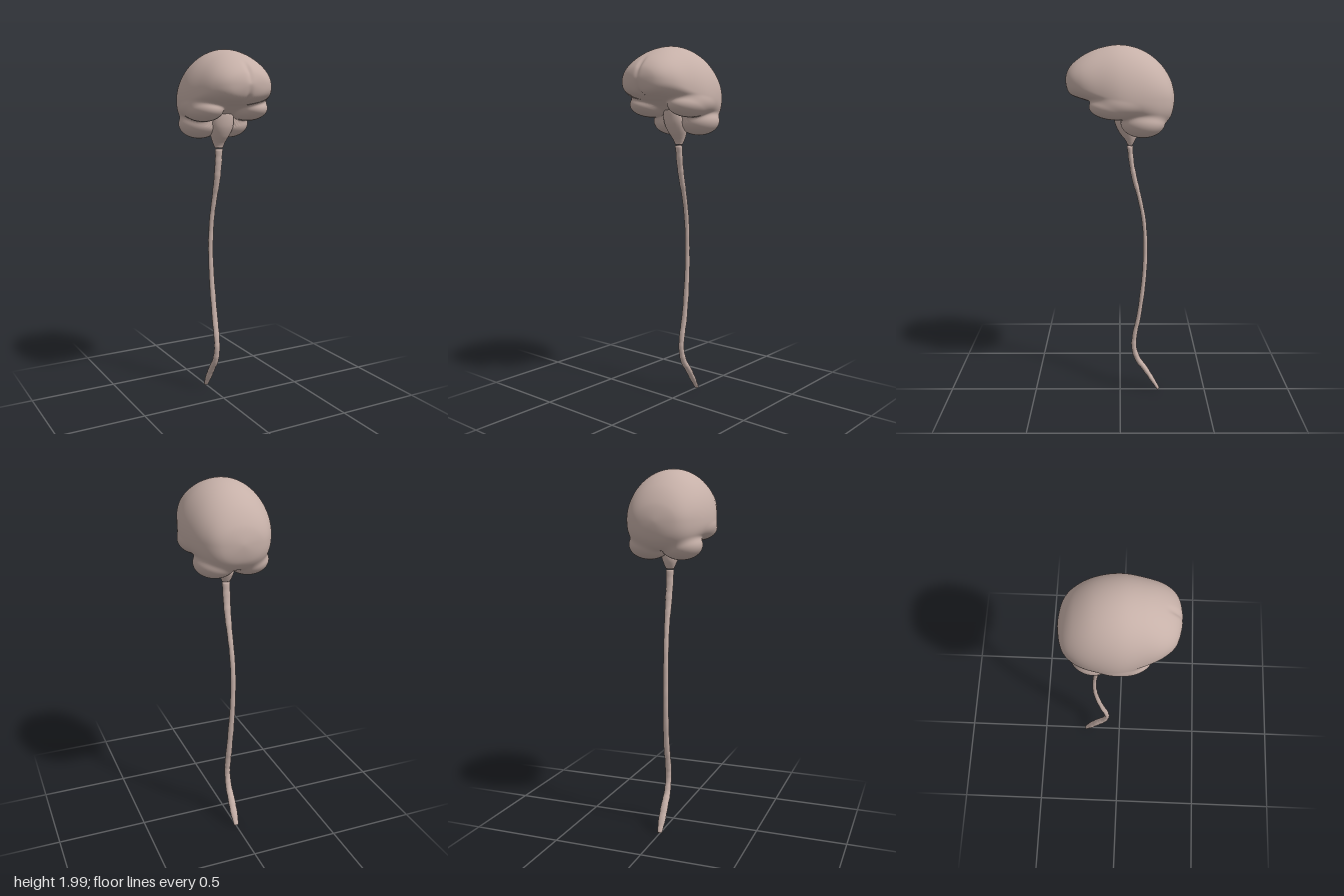
import * as THREE from 'three';
import { mergeVertices } from 'three/addons/utils/BufferGeometryUtils.js';

const material = new THREE.MeshStandardMaterial({ color: 0xc6b0a8, roughness: 0.8 });

// Cerebrum profile at equal angles from the back pole to the front pole.
const HALF_LENGTH = 0.292;
const TOP = [1.725, 1.82, 1.91, 1.975, 2.0, 1.983, 1.94, 1.885, 1.82];
const MIDDLE = [1.725, 1.725, 1.73, 1.73, 1.73, 1.765, 1.8, 1.815, 1.82];
const BOTTOM = [1.725, 1.625, 1.575, 1.6, 1.645, 1.695, 1.722, 1.75, 1.82];
const WIDTH = [0, 0.118, 0.183, 0.223, 0.238, 0.213, 0.176, 0.112, 0];

// Smooth lookup in an evenly spaced table, t from 0 to 1.
function sample(table, t) {
  const f = t * (table.length - 1);
  const i = Math.min(Math.floor(f), table.length - 2);
  const u = f - i;
  const b = table[i], c = table[i + 1];
  const a = table[i - 1] ?? b, d = table[i + 2] ?? c;
  return b + 0.5 * u * (c - a + u * (2 * a - 5 * b + 4 * c - d + u * (3 * (b - c) + d - a)));
}

// Approximate signed distances, negative inside.
function cerebrum(x, y, z) {
  if (Math.abs(z) >= HALF_LENGTH) return 1;
  const t = Math.asin(z / HALF_LENGTH) / Math.PI + 0.5;
  const mid = sample(MIDDLE, t);
  const up = y > mid;
  const h = Math.max(Math.abs((up ? sample(TOP, t) : sample(BOTTOM, t)) - mid), 1e-4);
  const w = Math.max(sample(WIDTH, t), 1e-4);
  const p = up ? 2 : 2.6;
  const q = (Math.abs(x / w) ** p + Math.abs((y - mid) / h) ** p) ** (1 / p);
  // shallow midline furrow between the frontal lobes
  const furrow = 0.014 * Math.exp(-((x / 0.014) ** 2)) * THREE.MathUtils.smoothstep(z, 0.2, 0.27);
  return (q - 1) * Math.min(w, h) + furrow;
}

function ellipsoid(x, y, z, [cx, cy, cz, rx, ry, rz]) {
  return (Math.hypot((x - cx) / rx, (y - cy) / ry, (z - cz) / rz) - 1) * Math.min(rx, ry, rz);
}

function blend(a, b, k) {
  const h = Math.max(k - Math.abs(a - b), 0) / k;
  return Math.min(a, b) - h * h * k * 0.25;
}

const LOBES = [
  [0.135, 1.69, 0.015, 0.1, 0.07, 0.148], // temporal lobe
  [0.09, 1.602, -0.12, 0.112, 0.08, 0.118], // cerebellum half
];

function brainField(x, y, z) {
  let d = cerebrum(x, y, z);
  for (const lobe of LOBES) d = blend(d, ellipsoid(Math.abs(x), y, z, lobe), 0.014);
  return d;
}

// Push each vertex of a sphere out to the surface of the blended lobes.
function brainGeometry() {
  let geometry = new THREE.IcosahedronGeometry(1, 44);
  geometry.deleteAttribute('uv');
  geometry.deleteAttribute('normal');
  geometry = mergeVertices(geometry, 1e-5);
  const pos = geometry.attributes.position;
  const centre = new THREE.Vector3(0, 1.745, -0.02);
  const dir = new THREE.Vector3();
  for (let i = 0; i < pos.count; i++) {
    dir.fromBufferAttribute(pos, i).normalize();
    const inside = (r) =>
      brainField(centre.x + dir.x * r, centre.y + dir.y * r, centre.z + dir.z * r) < 0;
    let low = 0.4;
    while (low > 0.02 && !inside(low)) low -= 0.006;
    let high = low + 0.006;
    for (let n = 0; n < 12; n++) {
      const m = (low + high) / 2;
      if (inside(m)) low = m;
      else high = m;
    }
    dir.multiplyScalar(low).add(centre);
    pos.setXYZ(i, dir.x, dir.y, dir.z);
  }
  geometry.computeVertexNormals();
  return geometry;
}

// Sweep an ellipse downwards; each station is [x, y, z, side radius, depth radius].
function sweep(stations, rings, sides, ripple = 0) {
  const path = new THREE.CatmullRomCurve3(stations.map((s) => new THREE.Vector3(s[0], s[1], s[2])));
  const rx = stations.map((s) => s[3]);
  const rz = stations.map((s) => s[4]);
  const vertices = [], index = [];
  for (let i = 0; i <= rings; i++) {
    const t = i / rings;
    const p = path.getPoint(t);
    const tan = path.getTangent(t);
    const depth = new THREE.Vector3(0, tan.z, -tan.y).normalize();
    const wobble = 1 + ripple * Math.sin(i * 1.3) * Math.sin(i * 0.37);
    for (let j = 0; j < sides; j++) {
      const a = (j / sides) * Math.PI * 2;
      const d = sample(rz, t) * Math.sin(a) * wobble;
      vertices.push(p.x + sample(rx, t) * Math.cos(a) * wobble, p.y + depth.y * d, p.z + depth.z * d);
      if (i < rings) {
        const k = i * sides + j, n = i * sides + ((j + 1) % sides);
        index.push(k, n, k + sides, n, n + sides, k + sides);
      }
    }
  }
  // end caps
  const first = stations[0], last = stations[stations.length - 1];
  const c = vertices.length / 3;
  vertices.push(first[0], first[1], first[2], last[0], last[1], last[2]);
  for (let j = 0; j < sides; j++) {
    const n = (j + 1) % sides, base = rings * sides;
    index.push(c, n, j, c + 1, base + j, base + n);
  }
  const geometry = new THREE.BufferGeometry();
  geometry.setAttribute('position', new THREE.Float32BufferAttribute(vertices, 3));
  geometry.setIndex(index);
  geometry.computeVertexNormals();
  return geometry;
}

export function createModel() {
  const model = new THREE.Group();
  const add = (name, geometry) => {
    // double sided so the thin swept tubes always read as solid
    const mesh = new THREE.Mesh(geometry, material);
    mesh.name = name;
    model.add(mesh);
  };
  material.side = THREE.DoubleSide;

  add('brain', brainGeometry());

  // Brainstem tapering from the midbrain to the cord
  add('brainstem', sweep([
    [0, 1.7, 0.0, 0.04, 0.035],
    [0, 1.65, -0.005, 0.06, 0.042],
    [0, 1.6, -0.02, 0.066, 0.05],
    [0, 1.55, -0.045, 0.056, 0.05],
    [0, 1.515, -0.054, 0.042, 0.038],
    [0, 1.49, -0.055, 0.032, 0.024],
    [0, 1.47, -0.053, 0.024, 0.015],
  ], 30, 24));

  // Spinal cord following the curve of the back
  add('spinalCord', sweep([
    [0, 1.465, -0.053, 0.022, 0.016],
    [0, 1.37, -0.063, 0.021, 0.014],
    [0, 1.28, -0.08, 0.019, 0.015],
    [-0.002, 1.18, -0.106, 0.016, 0.012],
    [-0.006, 1.05, -0.132, 0.015, 0.012],
    [-0.008, 0.89, -0.143, 0.015, 0.012],
    [-0.005, 0.71, -0.137, 0.016, 0.013],
    [0, 0.47, -0.108, 0.018, 0.013],
    [0, 0.36, -0.086, 0.018, 0.014],
    [0, 0.28, -0.081, 0.017, 0.015],
    [0, 0.2, -0.104, 0.019, 0.017],
    [0, 0.145, -0.143, 0.021, 0.016],
    [0, 0.07, -0.19, 0.021, 0.013],
    [0, 0.01, -0.226, 0.014, 0.009],
  ], 110, 16, 0.06));

  return model;
}
